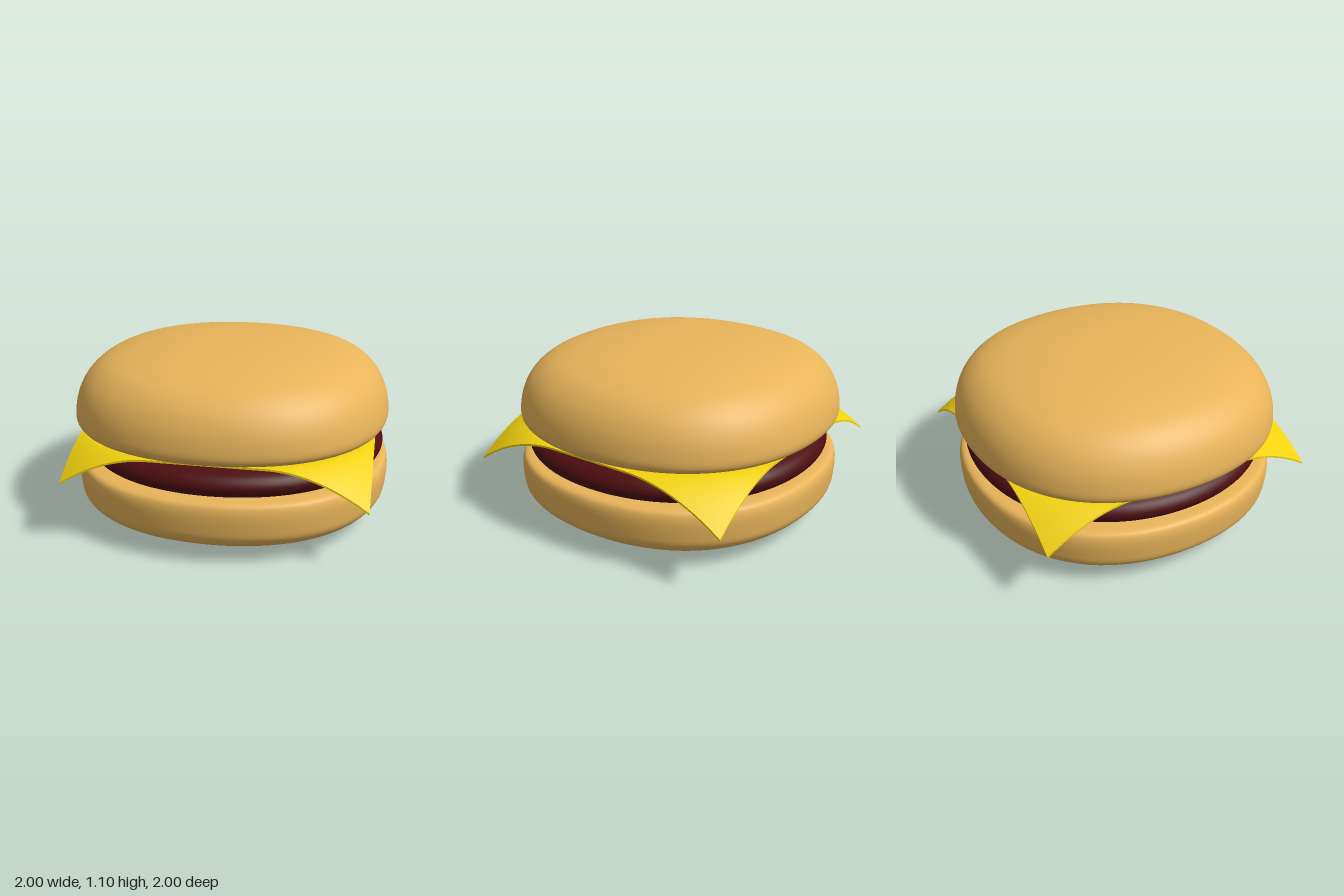
import * as THREE from 'three';
import { mergeVertices } from 'three/addons/utils/BufferGeometryUtils.js';

const paint = (color) => new THREE.MeshStandardMaterial({ color });

// Smooth round body from a bottom-to-top profile of [radius, y];
// squareness pushes the diagonals slightly outward.
function roundBody(name, profile, squareness, material) {
  const curve = new THREE.CatmullRomCurve3(
    profile.map(([r, y]) => new THREE.Vector3(r, y, 0)), false, 'centripetal');
  const points = curve.getPoints(72).map((p) => new THREE.Vector2(Math.max(p.x, 0), p.y));
  let geometry = new THREE.LatheGeometry(points, 96);
  const pos = geometry.attributes.position;
  for (let i = 0; i < pos.count; i++) {
    const x = pos.getX(i), z = pos.getZ(i);
    const s = 1 + squareness * Math.sin(2 * Math.atan2(z, x)) ** 2;
    pos.setXYZ(i, x * s, pos.getY(i), z * s);
  }
  // weld the seam so the normals stay smooth
  geometry.deleteAttribute('uv');
  geometry.deleteAttribute('normal');
  geometry = mergeVertices(geometry, 1e-5);
  geometry.computeVertexNormals();
  const mesh = new THREE.Mesh(geometry, material);
  mesh.name = name;
  return mesh;
}

// Thin square slice whose corners droop past the patty's rim
function cheeseSlice(material) {
  const geometry = new THREE.BoxGeometry(1.79, 0.012, 1.79, 48, 1, 48);
  geometry.translate(0.025, 0.576, -0.005);
  const pos = geometry.attributes.position;
  for (let i = 0; i < pos.count; i++) {
    const past = Math.max(0, Math.hypot(pos.getX(i), pos.getZ(i)) - 0.96);
    pos.setY(i, pos.getY(i) - 1.2 * past ** 1.5);
  }
  geometry.computeVertexNormals();
  const mesh = new THREE.Mesh(geometry, material);
  mesh.name = 'cheeseSlice';
  return mesh;
}

export function createModel() {
  const group = new THREE.Group();
  group.name = 'burger';
  const bread = paint(0xe8b45a);

  const bottomBun = roundBody('bottomBun', [
    [0, 0], [0.3, 0.008], [0.6, 0.026], [0.8, 0.055], [0.92, 0.1], [0.98, 0.16],
    [0.994, 0.23], [0.994, 0.34], [0.975, 0.376], [0.9, 0.388], [0.5, 0.39], [0, 0.39],
  ], 0.035, bread);
  bottomBun.position.x = 0.004;

  const patty = roundBody('patty', [
    [0, 0.375], [0.6, 0.375], [0.86, 0.383], [0.925, 0.41], [0.95, 0.46],
    [0.925, 0.51], [0.86, 0.54], [0.7, 0.558], [0.4, 0.568], [0, 0.569],
  ], 0.02, paint(0x4d0d10));
  patty.position.x = 0.015;

  const topBun = roundBody('topBun', [
    [0, 0.583], [0.5, 0.584], [0.85, 0.592], [0.965, 0.606], [0.993, 0.64], [0.99, 0.72],
    [0.965, 0.81], [0.915, 0.895], [0.83, 0.97], [0.7, 1.023], [0.48, 1.067], [0.25, 1.09], [0, 1.096],
  ], 0.035, bread);
  topBun.position.set(-0.006, 0, -0.003);

  group.add(bottomBun, patty, cheeseSlice(paint(0xf2d20f)), topBun);
  return group;
}
